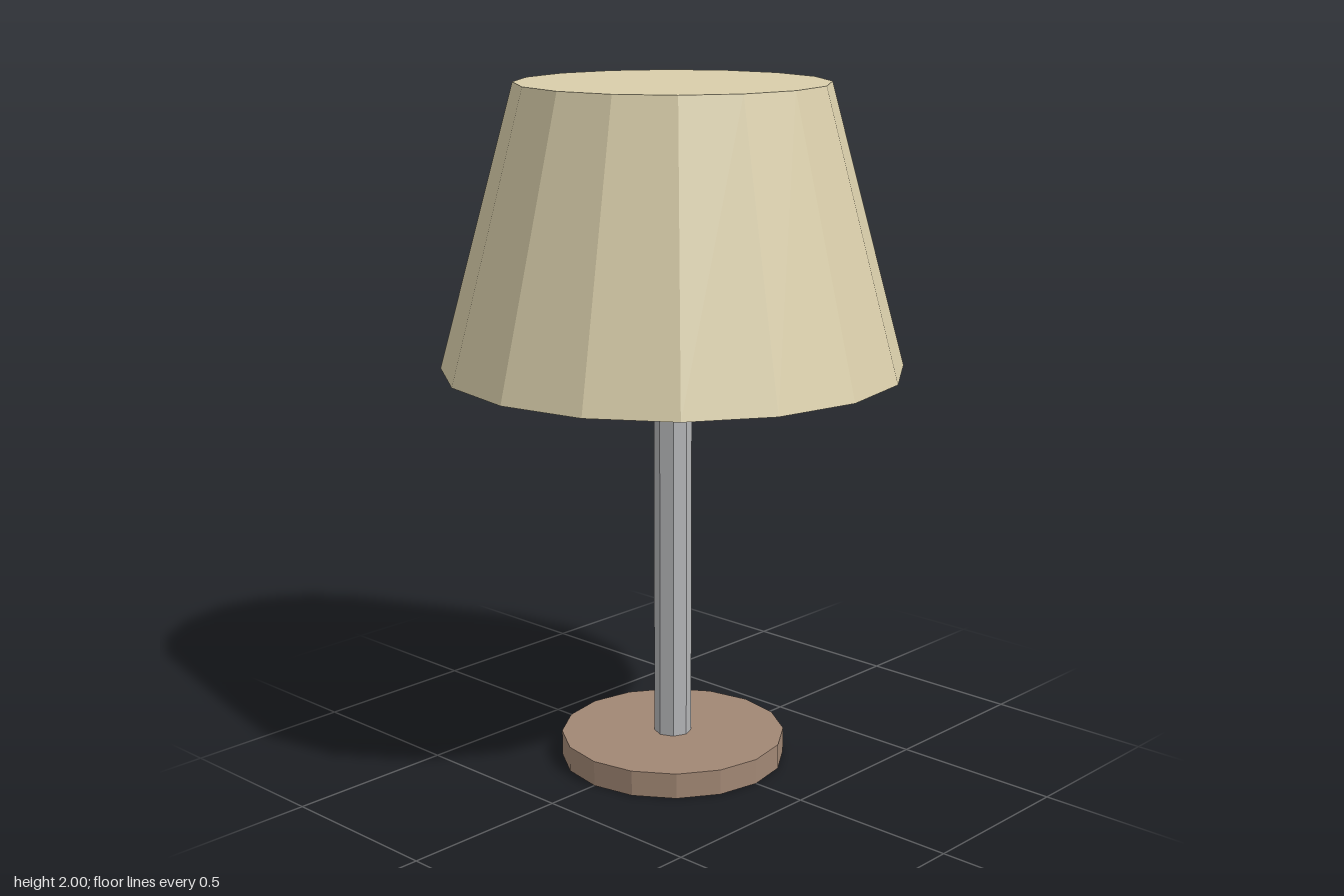
import * as THREE from 'three';

const material = (name, color) => {
  const m = new THREE.MeshStandardMaterial({ color, flatShading: true });
  m.name = name;
  return m;
};

export function createModel() {
  const lamp = new THREE.Group();
  lamp.name = 'tableLamp';

  // Adds a closed, faceted round part standing between two heights
  const addRound = (name, topRadius, bottomRadius, y0, y1, sides, mat) => {
    const geometry = new THREE.CylinderGeometry(topRadius, bottomRadius, y1 - y0, sides);
    const mesh = new THREE.Mesh(geometry, mat);
    mesh.name = name;
    mesh.position.y = (y0 + y1) / 2;
    lamp.add(mesh);
  };

  addRound('base', 0.332, 0.332, 0, 0.075, 16, material('brown wood', 0xa18774));
  addRound('pole', 0.055, 0.055, 0.07, 1.2, 8, material('grey metal', 0xb4b5b7));
  addRound('shade', 0.445, 0.665, 1.19, 2, 16, material('cream fabric', 0xd9ceaa));

  return lamp;
}
